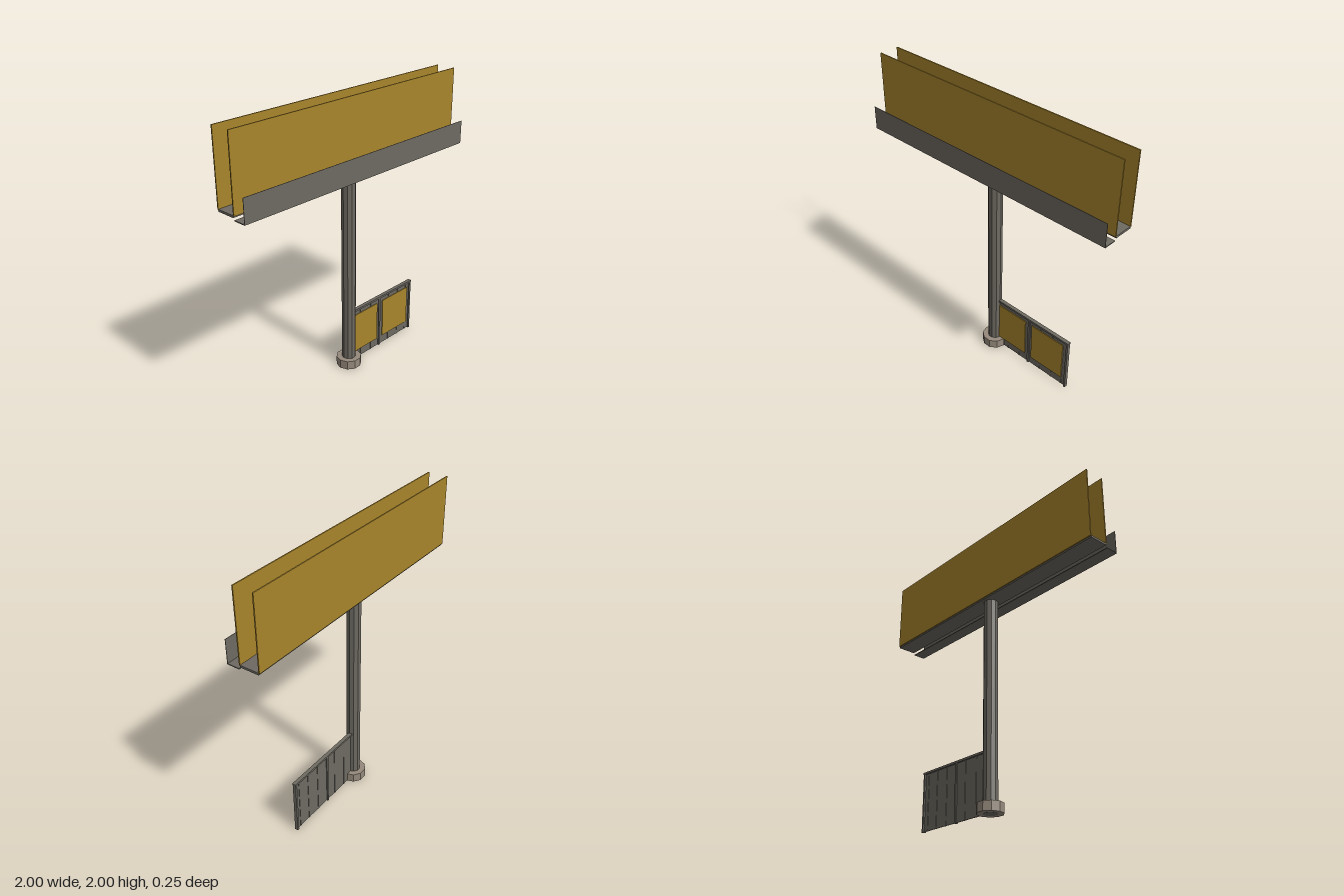
import * as THREE from 'three';

export function createModel() {
  const model = new THREE.Group();
  model.name = 'billboard';

  const mat = (name, color) => {
    const m = new THREE.MeshStandardMaterial({ color });
    m.name = name;
    return m;
  };
  const steel = mat('grey steel', 0x6e6a62);
  const ochre = mat('ochre panel', 0xa8852c);
  const concrete = mat('warm concrete', 0x968a7c);

  // Box given by its limits on each axis
  const box = (name, material, [x0, x1], [y0, y1], [z0, z1], parent = model) => {
    const mesh = new THREE.Mesh(new THREE.BoxGeometry(x1 - x0, y1 - y0, z1 - z0), material);
    mesh.position.set((x0 + x1) / 2, (y0 + y1) / 2, (z0 + z1) / 2);
    mesh.name = name;
    parent.add(mesh);
    return mesh;
  };

  // Ten-sided column with corners on the x axis, flat faces
  const poleZ = -0.037;
  const column = (name, material, radius, y0, y1) => {
    const geo = new THREE.CylinderGeometry(radius, radius, y1 - y0, 10).toNonIndexed();
    geo.rotateY(Math.PI / 2);
    geo.computeVertexNormals();
    const mesh = new THREE.Mesh(geo, material);
    mesh.position.set(0, (y0 + y1) / 2, poleZ);
    mesh.name = name;
    model.add(mesh);
  };
  column('footing', concrete, 0.09, 0.001, 0.066);
  column('pole', steel, 0.05, 0, 1.49);

  // Sign: a long tray carrying two display panels
  const full = [-1, 1];
  box('tray', steel, full, [1.489, 1.504], [-0.106, 0.027]);
  box('frontPanel', ochre, full, [1.5, 2], [0.027, 0.035]);
  box('backPanel', ochre, full, [1.5, 2], [-0.113, -0.105]);

  // Walkway with its upright guard
  box('walkwayFloor', steel, full, [1.472, 1.478], [0.036, 0.125]);
  box('walkwayGuard', steel, full, [1.472, 1.637], [0.122, 0.125]);

  // Fence beside the pole
  const fence = new THREE.Group();
  fence.name = 'fence';
  model.add(fence);
  box('fenceSheet', steel, [0, 0.68], [0.003, 0.405], [-0.046, -0.042], fence);
  box('topRail', steel, [0, 0.685], [0.402, 0.417], [-0.057, -0.03], fence);
  box('middlePost', steel, [0.322, 0.338], [0, 0.405], [-0.054, -0.034], fence);
  box('endPost', steel, [0.668, 0.683], [0, 0.405], [-0.056, -0.032], fence);
  for (const x of [0.13, 0.24, 0.435, 0.54, 0.635]) {
    box('rib', steel, [x - 0.005, x + 0.005], [0.003, 0.405], [-0.049, -0.039], fence);
  }
  // Posters on the front of the fence
  for (const x of [[0.02, 0.3], [0.36, 0.64]]) {
    box('poster', ochre, x, [0.07, 0.372], [-0.037, -0.032], fence);
  }

  return model;
}
